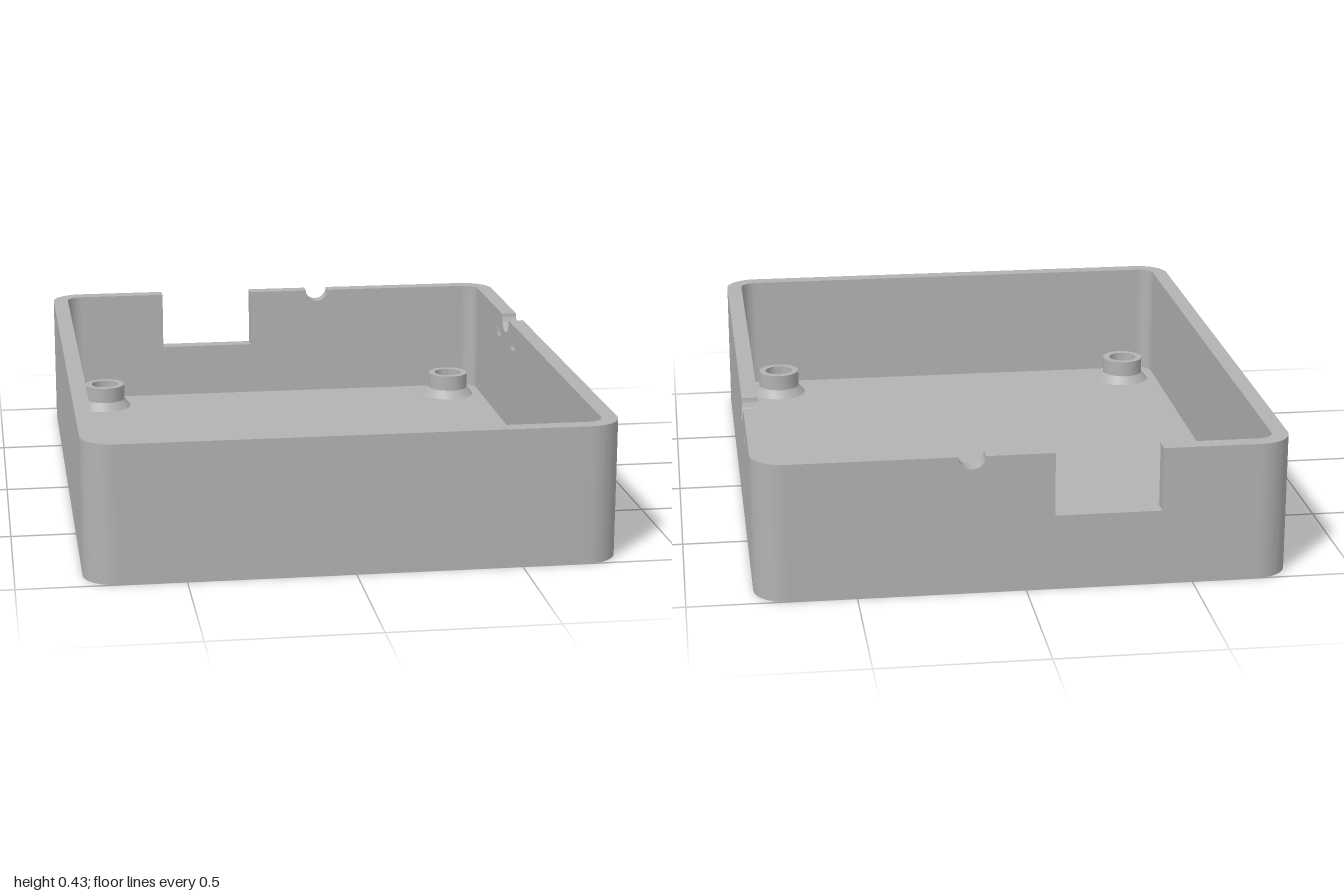
import * as THREE from 'three';
import { toCreasedNormals } from 'three/addons/utils/BufferGeometryUtils.js';

const HX = 0.8, HZ = 1, H = 0.425;      // half width, half depth, height
const T = 0.05, FLOOR = 0.05, R = 0.1;  // wall, floor, corner radius

export function createModel() {
  const group = new THREE.Group();
  const plastic = new THREE.MeshStandardMaterial({ color: 0xb2b2b2 });
  plastic.name = 'grey plastic';

  const add = (name, geometry) => {
    const mesh = new THREE.Mesh(toCreasedNormals(geometry, 0.6), plastic);
    mesh.name = name;
    group.add(mesh);
    return mesh;
  };
  const extrude = (shape, depth) =>
    new THREE.ExtrudeGeometry(shape, { depth, bevelEnabled: false, curveSegments: 16 });

  // Floor plate with rounded corners
  const plate = new THREE.Shape();
  const x = HX - R, z = HZ - R;
  plate.absarc(x, z, R, 0, Math.PI / 2);
  plate.absarc(-x, z, R, Math.PI / 2, Math.PI);
  plate.absarc(-x, -z, R, Math.PI, Math.PI * 1.5);
  plate.absarc(x, -z, R, Math.PI * 1.5, Math.PI * 2);
  plate.closePath();
  add('floor', extrude(plate, FLOOR).rotateX(-Math.PI / 2));

  // Rounded wall corners
  for (let i = 0; i < 4; i++) {
    const a = i * Math.PI / 2, b = a + Math.PI / 2;
    const cx = i === 0 || i === 3 ? x : -x, cz = i < 2 ? z : -z;
    const arc = new THREE.Shape();
    arc.absarc(cx, cz, R, a, b);
    arc.absarc(cx, cz, R - T, b, a, true);
    arc.closePath();
    add('cornerWall', extrude(arc, H - FLOOR).rotateX(-Math.PI / 2).translate(0, FLOOR, 0));
  }

  // Straight walls, drawn as seen from outside; cutTop adds notches from right to left
  const wall = (name, half, dist, angle, cutTop = () => {}, holes = []) => {
    const s = new THREE.Shape();
    s.moveTo(-half, FLOOR);
    s.lineTo(half, FLOOR);
    s.lineTo(half, H);
    cutTop(s);
    s.lineTo(-half, H);
    s.closePath();
    s.holes.push(...holes);
    add(name, extrude(s, T).translate(0, 0, dist - T).rotateY(angle));
  };
  const roundNotch = (s, c, r) => {
    s.lineTo(c + r, H);
    s.absarc(c, H, r, 0, Math.PI, true);
  };
  const slot = (c) => {
    const w = 0.032, lo = 0.336, hi = 0.364;
    return new THREE.Path([[-w, lo], [-w, hi], [w, hi], [w, lo], [-w, lo]]
      .map(([u, y]) => new THREE.Vector2(c + u, y)));
  };

  wall('frontWall', x, HZ, 0);
  wall('rightWall', z, HX, -Math.PI / 2);

  // Left wall: cable notch between two tie slots
  wall('leftWall', z, HX, Math.PI / 2, (s) => roundNotch(s, 0.425, 0.053),
    [slot(0.308), slot(0.533)]);

  // Back wall: deep rectangular opening and a small round notch
  wall('backWall', x, HZ, Math.PI, (s) => {
    s.lineTo(0.405, H);
    s.lineTo(0.405, H - 0.195);
    s.lineTo(0.085, H - 0.195);
    s.lineTo(0.085, H);
    roundNotch(s, -0.16, 0.04);
  });

  // Hollow screw posts with flared feet
  const profile = [[0.092, 0], [0.07, 0.027], [0.07, 0.08], [0.047, 0.08], [0.047, 0]]
    .map(([r, y]) => new THREE.Vector2(r, y));
  for (const sx of [-1, 1]) {
    for (const sz of [-1, 1]) {
      add('screwPost', new THREE.LatheGeometry(profile, 40))
        .position.set(sx * 0.628, FLOOR, sz * 0.83);
    }
  }
  return group;
}
